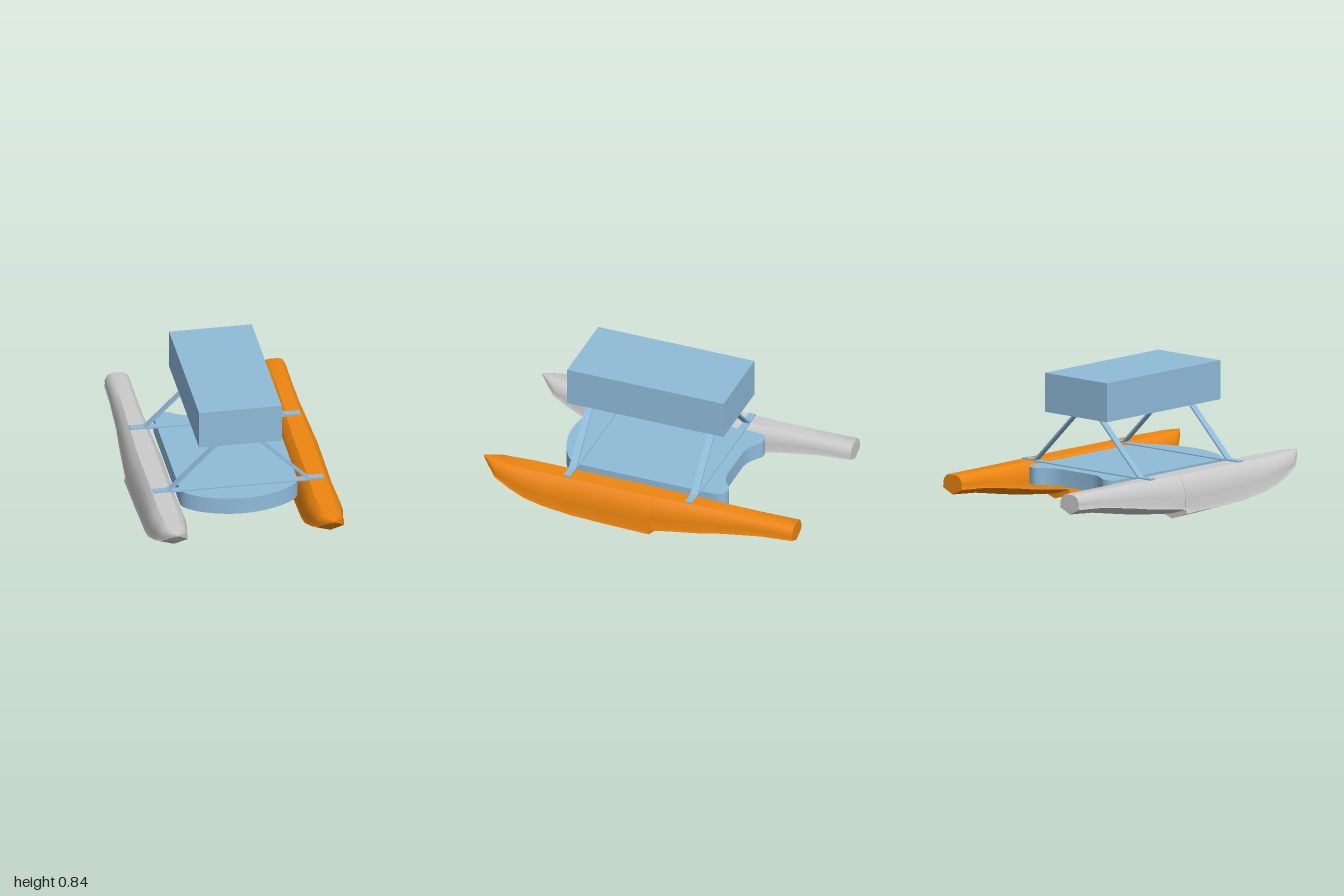
import * as THREE from 'three';
import { toCreasedNormals } from 'three/addons/utils/BufferGeometryUtils.js';

const DECK_Y = 0.272;

// Float stations: z, keel height, chine height, half width
const STATIONS = [
  [1.0, 0.262, 0.266, 0.004],
  [0.96, 0.215, 0.235, 0.04],
  [0.9, 0.16, 0.185, 0.083],
  [0.8, 0.112, 0.14, 0.1],
  [0.7, 0.08, 0.108, 0.118],
  [0.58, 0.053, 0.08, 0.119],
  [0.4, 0.022, 0.056, 0.115],
  [0.2, 0.012, 0.05, 0.118],
  [0.0, 0.006, 0.047, 0.12],
  [-0.1, 0.003, 0.045, 0.121],
  [-0.1, 0.033, 0.07, 0.115],
  [-0.25, 0.05, 0.092, 0.107],
  [-0.4, 0.068, 0.112, 0.098],
  [-0.55, 0.092, 0.138, 0.087],
  [-0.8, 0.136, 0.175, 0.08],
  [-1.0, 0.153, 0.19, 0.079],
];

// Half section above the keel: fraction of half width, fraction of height above the chine
const SECTION = [[1, 0], [0.93, 0.12], [0.95, 0.4], [0.85, 0.65], [0.7, 0.86], [0.45, 1]];

function floatGeometry() {
  const positions = [], index = [];
  const n = SECTION.length * 2 + 1;
  for (const [z, keel, chine, w] of STATIONS) {
    const side = SECTION.map(([u, v]) => [u * w, chine + v * (DECK_Y - chine)]);
    const ring = [[0, keel], ...side, ...side.slice().reverse().map(([x, y]) => [-x, y])];
    for (const [x, y] of ring) positions.push(x, y, z);
  }
  for (let i = 0; i < STATIONS.length - 1; i++) {
    for (let j = 0; j < n; j++) {
      const a = i * n + j, b = i * n + (j + 1) % n;
      index.push(a, a + n, b, b, a + n, b + n);
    }
  }
  // Bow and stern caps
  const last = (STATIONS.length - 1) * n;
  for (let j = 1; j < n - 1; j++) {
    index.push(0, j, j + 1);
    index.push(last, last + j + 1, last + j);
  }
  const g = new THREE.BufferGeometry();
  g.setAttribute('position', new THREE.Float32BufferAttribute(positions, 3));
  g.setIndex(index);
  return toCreasedNormals(g, 0.6);
}

// Deck outline drawn as (x, z), then laid flat
function deckGeometry() {
  const s = new THREE.Shape();
  s.moveTo(-0.355, -0.42);
  s.lineTo(-0.355, 0.44);
  s.bezierCurveTo(-0.355, 0.53, -0.16, 0.62, 0, 0.62);
  s.bezierCurveTo(0.16, 0.62, 0.355, 0.53, 0.355, 0.44);
  s.lineTo(0.355, -0.42);
  s.bezierCurveTo(0.355, -0.47, 0.32, -0.49, 0.285, -0.49);
  s.bezierCurveTo(0.24, -0.49, 0.23, -0.43, 0.12, -0.42);
  s.lineTo(-0.12, -0.42);
  s.bezierCurveTo(-0.23, -0.43, -0.24, -0.49, -0.285, -0.49);
  s.bezierCurveTo(-0.32, -0.49, -0.355, -0.47, -0.355, -0.42);
  const g = new THREE.ExtrudeGeometry(s, { depth: 0.103, bevelEnabled: false, curveSegments: 16 });
  g.rotateX(Math.PI / 2).translate(0, 0.268, 0);
  return toCreasedNormals(g, 0.6);
}

// Bent flat strip: foot, slope, flat top, slope, foot
function strutGeometry(width) {
  const top = [[0.515, 0.28], [0.43, 0.28], [0.415, 0.288], [0.1, 0.6], [0.088, 0.605]];
  const under = [[0.085, 0.597], [0.093, 0.593], [0.408, 0.28], [0.425, 0.27], [0.515, 0.27]];
  const mirror = (pts) => pts.slice().reverse().map(([x, y]) => [-x, y]);
  const outline = [...top, ...mirror(top), ...mirror(under), ...under];
  const s = new THREE.Shape(outline.map(([x, y]) => new THREE.Vector2(x, y)));
  const g = new THREE.ExtrudeGeometry(s, { depth: width, bevelEnabled: false });
  return g.translate(-0.005, 0, -width / 2);
}

export function createModel() {
  const model = new THREE.Group();
  const blue = new THREE.MeshStandardMaterial({ color: 0x8fbbd9 });
  const orange = new THREE.MeshStandardMaterial({ color: 0xee8610 });
  const grey = new THREE.MeshStandardMaterial({ color: 0xcccccc });

  const add = (name, geometry, material, x = 0, y = 0, z = 0) => {
    const mesh = new THREE.Mesh(geometry, material);
    mesh.name = name;
    mesh.position.set(x, y, z);
    model.add(mesh);
  };

  // Twin stepped floats
  const hull = floatGeometry();
  add('leftFloat', hull, orange, 0.471);
  add('rightFloat', hull, grey, -0.473);

  // Deck slung between the floats and the raised box
  add('deck', deckGeometry(), blue);
  add('upperBox', new THREE.BoxGeometry(0.5, 0.236, 1.0), blue, -0.01, 0.723, 0.06);

  // Two frames: bent strut plus a thin cross bar
  const strut = strutGeometry(0.044);
  const bar = new THREE.BoxGeometry(0.86, 0.008, 0.044);
  for (const [name, z] of [['front', 0.455], ['rear', -0.323]]) {
    add(name + 'Strut', strut, blue, 0, 0, z);
    add(name + 'CrossBar', bar, blue, -0.005, 0.271, z);
  }
  return model;
}
